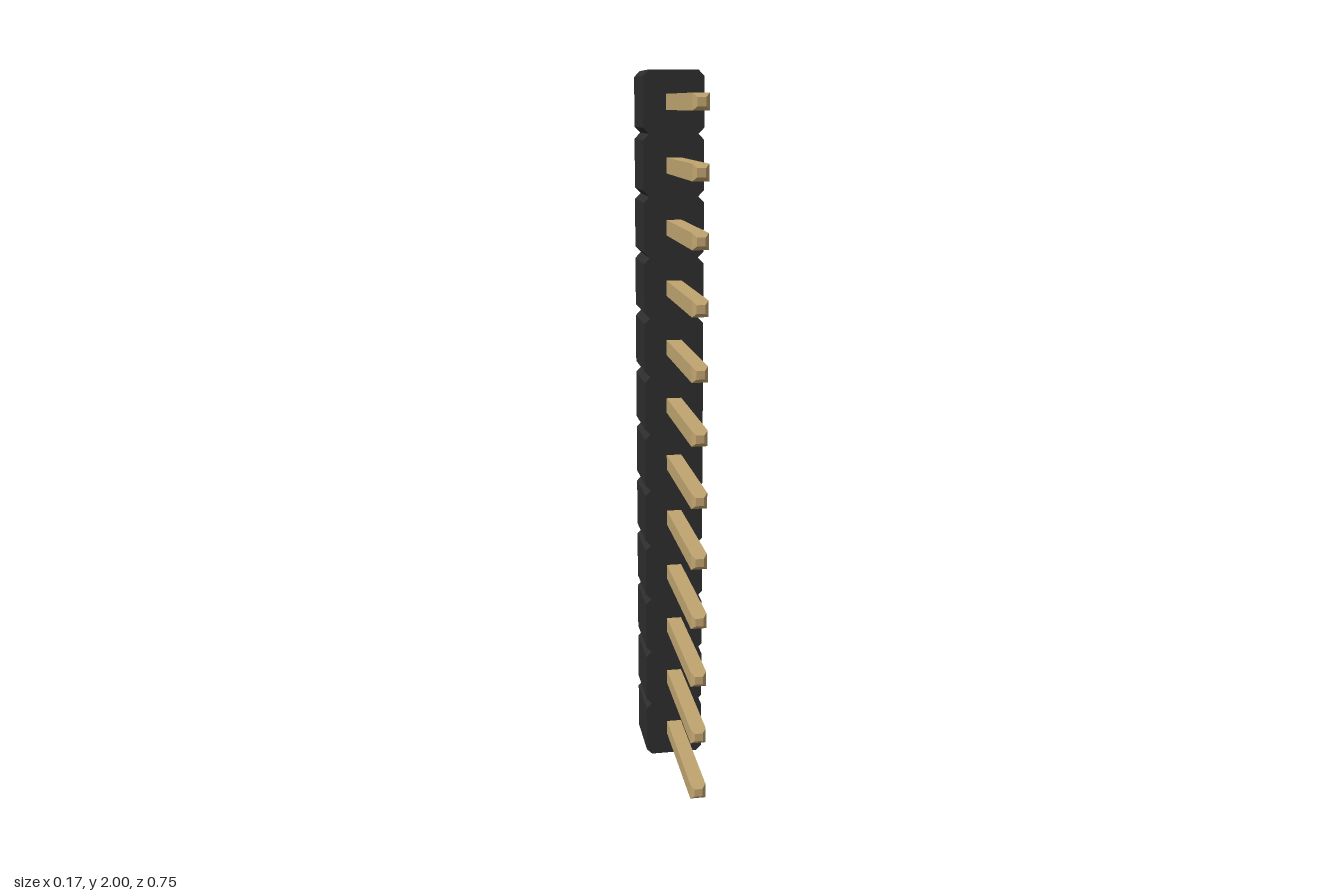
import * as THREE from 'three';

const COUNT = 12;
const PITCH = 2 / COUNT;
const HALF = PITCH / 2;
const CHAMFER = 0.016;
const BODY_BACK = -0.182, BODY_FRONT = -0.016;
const PIN_BACK = -0.377, PIN_FRONT = 0.377, PIN_HALF = 0.021, TIP = 0.01;

// One chamfered outline with a notch between neighbouring cells
function housingGeometry() {
  const right = [];
  for (let i = 0; i < COUNT; i++) {
    const y0 = i * PITCH, y1 = y0 + PITCH;
    if (i === 0) right.push([HALF - CHAMFER, y0]);
    right.push([HALF, y0 + CHAMFER], [HALF, y1 - CHAMFER], [HALF - CHAMFER, y1]);
  }
  const left = right.map(([x, y]) => [-x, y]).reverse();
  const shape = new THREE.Shape([...right, ...left].map(([x, y]) => new THREE.Vector2(x, y)));
  const geometry = new THREE.ExtrudeGeometry(shape, { depth: BODY_FRONT - BODY_BACK, bevelEnabled: false });
  return geometry.translate(0, 0, BODY_BACK);
}

// Square bar with bevelled tips at both ends
function pinGeometry() {
  const h = PIN_HALF;
  const shape = new THREE.Shape([[-h, -h], [h, -h], [h, h], [-h, h]].map(([x, y]) => new THREE.Vector2(x, y)));
  const geometry = new THREE.ExtrudeGeometry(shape, {
    depth: PIN_FRONT - PIN_BACK - 2 * TIP,
    bevelEnabled: true, bevelSegments: 1,
    bevelThickness: TIP, bevelSize: TIP, bevelOffset: -TIP,
  });
  return geometry.translate(0, 0, PIN_BACK + TIP);
}

export function createModel() {
  const group = new THREE.Group();
  group.name = 'pinHeader';
  const plastic = new THREE.MeshStandardMaterial({ name: 'black plastic', color: 0x2d2d2d });
  const gold = new THREE.MeshStandardMaterial({ name: 'dull gold', color: 0xc1a570 });

  const housing = new THREE.Mesh(housingGeometry(), plastic);
  housing.name = 'housing';
  group.add(housing);

  // Row of pins, one through the middle of each cell
  const geometry = pinGeometry();
  for (let i = 0; i < COUNT; i++) {
    const pin = new THREE.Mesh(geometry, gold);
    pin.name = `pin${i + 1}`;
    pin.position.y = (i + 0.5) * PITCH;
    group.add(pin);
  }
  return group;
}
